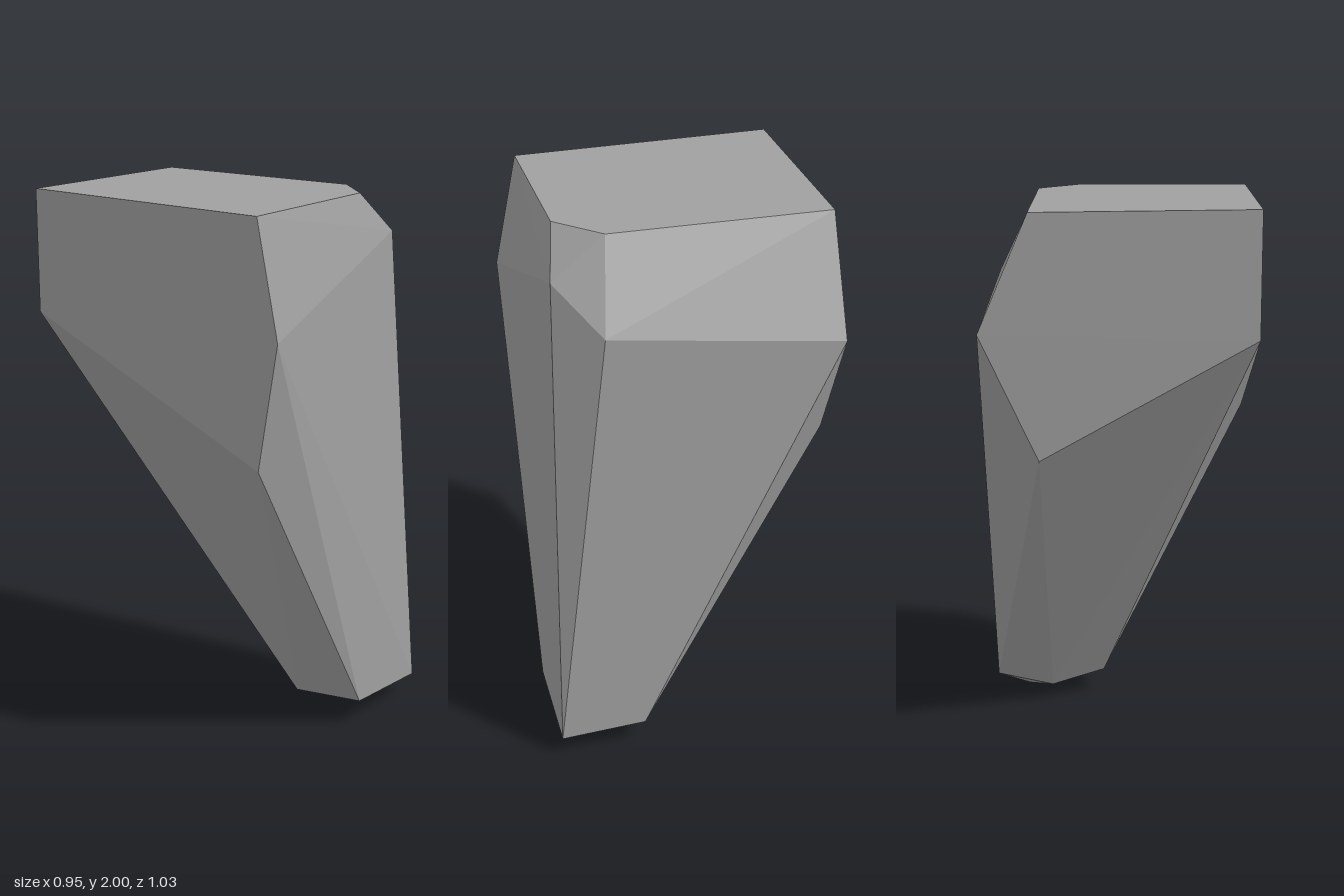
import * as THREE from 'three';
import { ConvexGeometry } from 'three/addons/geometries/ConvexGeometry.js';

export function createModel() {
  const group = new THREE.Group();
  group.name = 'rock';
  const stone = new THREE.MeshStandardMaterial({ color: 0xa0a0a0, flatShading: true });
  stone.name = 'grey stone';

  // Flat cap with one clipped corner
  const cap = [
    [-0.48, 2, -0.515], [0.3, 1.99, -0.515], [0.3, 1.99, 0.28],
    [0.15, 1.99, 0.43], [-0.48, 1.99, 0.43],
  ];
  // Bevelled shoulder, the widest part
  const shoulder = [
    [0.31, 1.84, 0.47], [0.45, 1.68, 0.32],
    [0.475, 1.58, -0.517], [-0.48, 1.58, 0.515],
  ];
  // Waist where the sides start to taper
  const waist = [[-0.48, 1.56, -0.513], [0.27, 1.14, -0.513], [-0.48, 1.13, 0.44]];
  // Narrow foot, offset to one corner
  const foot = [
    [0.475, 0.075, 0.515], [0.09, 0.1, 0.51], [0.06, 0.09, 0.25],
    [0.26, 0.06, 0.16], [0.475, 0.09, 0.2], [0.36, 0, 0.33],
  ];

  const points = [...cap, ...shoulder, ...waist, ...foot].map((p) => new THREE.Vector3(...p));
  const body = new THREE.Mesh(new ConvexGeometry(points), stone);
  body.name = 'rockBody';
  group.add(body);
  return group;
}
